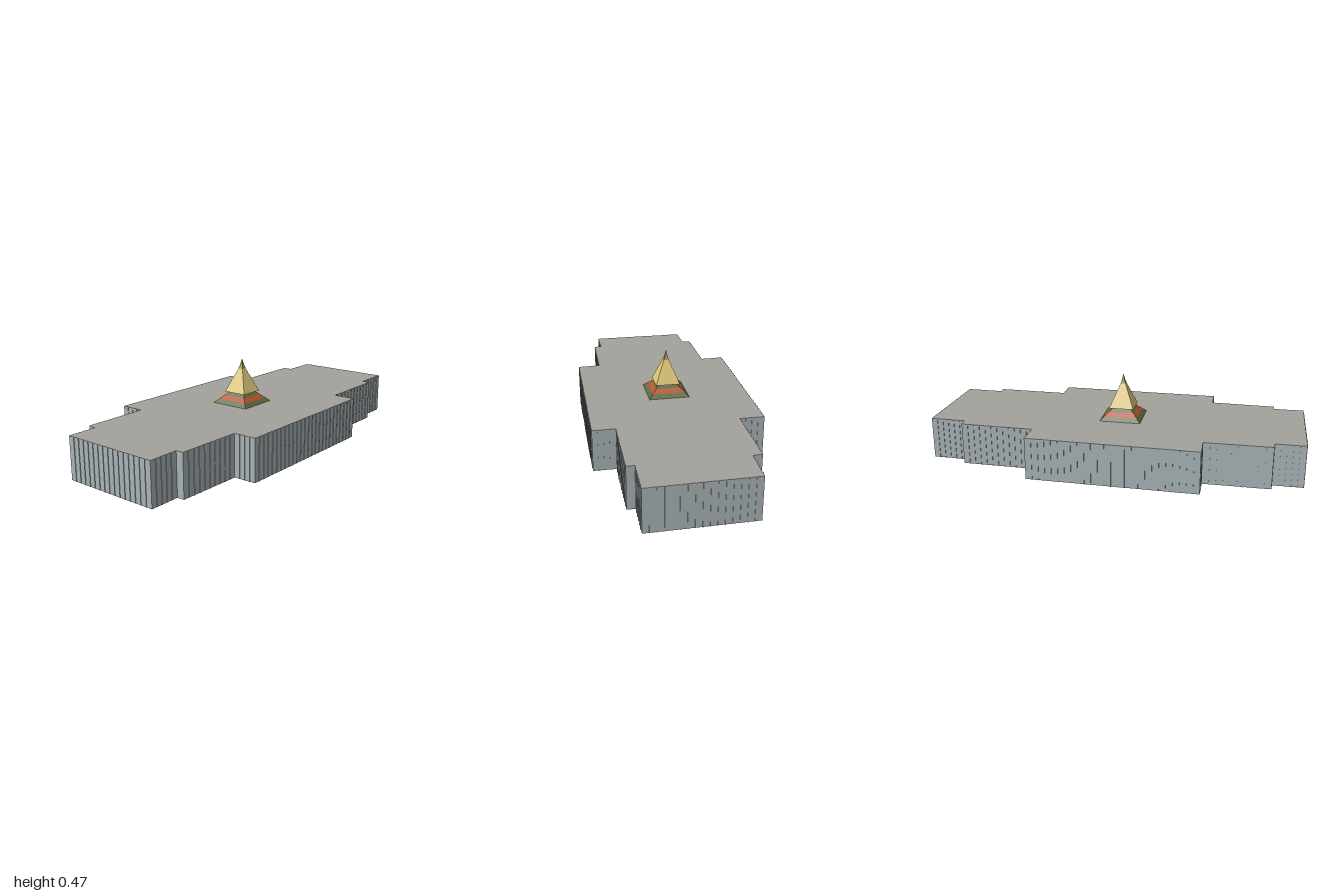
import * as THREE from 'three';
import { mergeGeometries } from 'three/addons/utils/BufferGeometryUtils.js';

const WALL_HEIGHT = 0.224;

// Stepped floor plan as [x, z], clockwise seen from above
const PLAN = [
  [0.24, -0.998], [0.718, -0.745], [0.62, -0.57], [0.657, -0.55], [0.47, -0.212],
  [0.575, -0.155], [0.145, 0.628], [0.037, 0.572], [-0.135, 0.875], [-0.17, 0.856],
  [-0.245, 0.998], [-0.722, 0.738], [-0.648, 0.6], [-0.688, 0.575], [-0.525, 0.268],
  [-0.638, 0.21], [-0.205, -0.572], [-0.09, -0.51], [0.1, -0.852], [0.145, -0.832],
];

function material(color) {
  return new THREE.MeshStandardMaterial({ color, flatShading: true, side: THREE.DoubleSide });
}

function named(name, geometry, mat) {
  const mesh = new THREE.Mesh(geometry, mat);
  mesh.name = name;
  return mesh;
}

// Square frustum whose radii are measured to the corners
function frustum(bottom, top, y0, y1, open = false) {
  const g = new THREE.CylinderGeometry(top, bottom, y1 - y0, 4, 1, open);
  return g.translate(0, (y0 + y1) / 2, 0);
}

// Walls around the plan, with fine vertical ribs on the outside
function createFacade() {
  const walls = [];
  const ribs = [];
  PLAN.forEach(([x0, z0], i) => {
    const [x1, z1] = PLAN[(i + 1) % PLAN.length];
    const dx = x1 - x0, dz = z1 - z0;
    const length = Math.hypot(dx, dz);
    const angle = Math.atan2(dz, -dx);
    const place = (g) => g.rotateY(angle).translate((x0 + x1) / 2, WALL_HEIGHT / 2, (z0 + z1) / 2);
    walls.push(place(new THREE.PlaneGeometry(length, WALL_HEIGHT)));
    const count = Math.max(1, Math.round(length / 0.034));
    for (let k = 1; k < count; k++) {
      const rib = new THREE.BoxGeometry(0.004, WALL_HEIGHT, 0.003);
      ribs.push(place(rib.translate(-length / 2 + (k * length) / count, 0, 0.0015)));
    }
  });
  const group = new THREE.Group();
  group.name = 'facade';
  const mat = material(0xa8b3b6);
  group.add(named('walls', mergeGeometries(walls), mat));
  group.add(named('wallRibs', mergeGeometries(ribs), mat));
  return group;
}

// Flat roof slab surface; the building is open underneath
function createRoof() {
  const shape = new THREE.Shape(PLAN.map(([x, z]) => new THREE.Vector2(x, -z)));
  const g = new THREE.ShapeGeometry(shape).rotateX(-Math.PI / 2).translate(0, WALL_HEIGHT, 0);
  return named('roof', g, material(0xa3a19b));
}

// Pyramid lantern on three coloured plinths, with a spire
function createPyramid() {
  const group = new THREE.Group();
  group.name = 'pyramid';
  const green = material(0x5f6b42);
  group.add(named('lowerPlinth', frustum(0.155, 0.126, WALL_HEIGHT, 0.245), green));
  group.add(named('middlePlinth', frustum(0.126, 0.095, 0.245, 0.265), material(0xb9552c)));
  group.add(named('upperPlinth', frustum(0.095, 0.066, 0.265, 0.285), green));

  // Gold tiled slopes as shallow overlapping courses
  const courses = [];
  const rows = 10, y0 = 0.285, y1 = 0.412;
  const radius = (t) => THREE.MathUtils.lerp(0.094, 0.02, t);
  for (let i = 0; i < rows; i++) {
    const a = i / rows, b = (i + 1) / rows;
    courses.push(frustum(radius(a), radius(b) - 0.002,
      THREE.MathUtils.lerp(y0, y1, a), THREE.MathUtils.lerp(y0, y1, b)));
  }
  group.add(named('tiledSlopes', mergeGeometries(courses), material(0xd9c277)));

  // Concave square spire
  const profile = [[0.02, 0.412], [0.012, 0.428], [0.006, 0.446], [0, 0.465]]
    .map(([r, y]) => new THREE.Vector2(r, y));
  group.add(named('spire', new THREE.LatheGeometry(profile, 4), material(0xa08d50)));

  group.position.set(-0.028, 0, 0.01);
  group.rotation.y = THREE.MathUtils.degToRad(16.7);
  return group;
}

export function createModel() {
  const model = new THREE.Group();
  model.name = 'building';
  model.add(createFacade(), createRoof(), createPyramid());
  return model;
}
